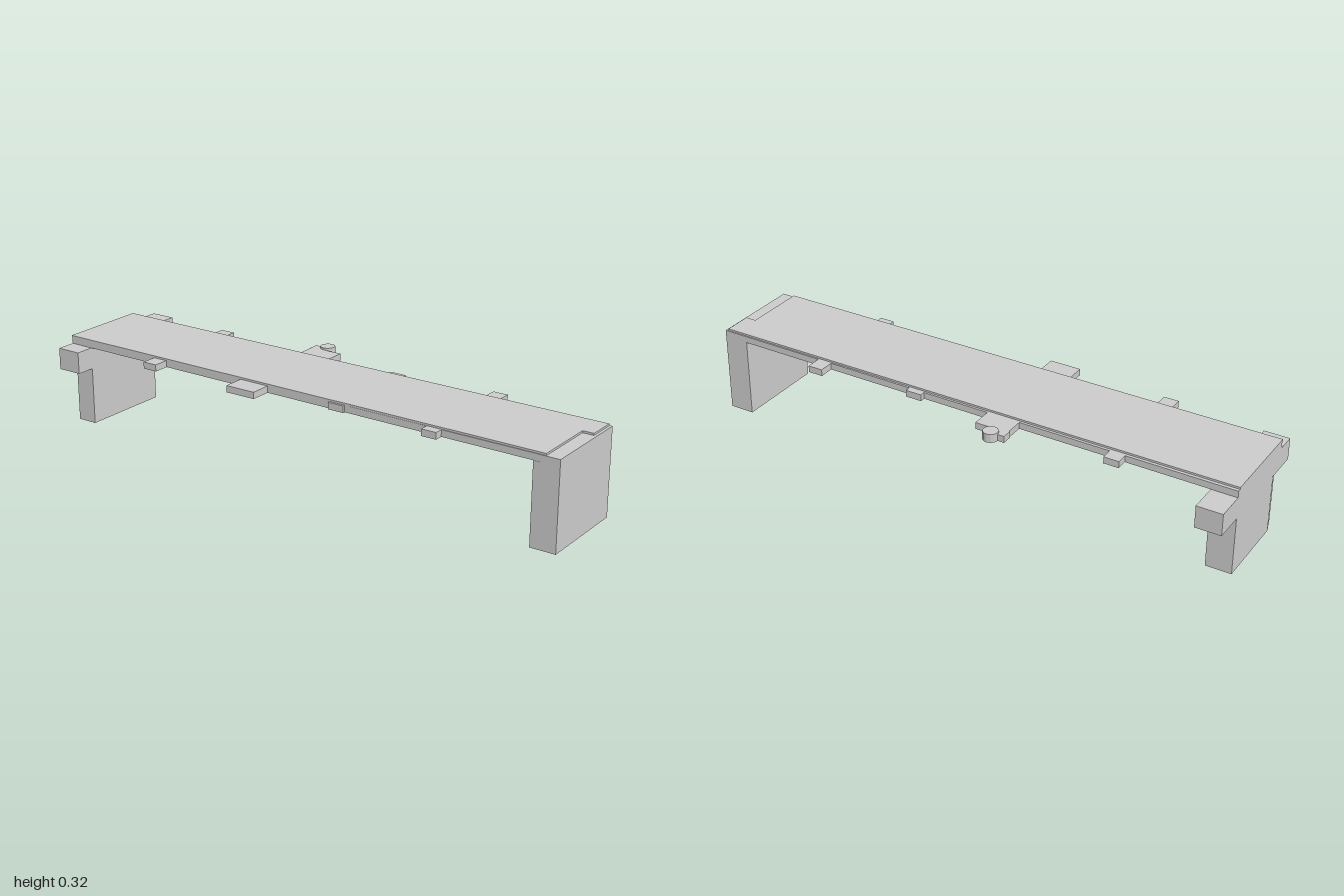
import * as THREE from 'three';

const material = new THREE.MeshStandardMaterial({ color: 0xcccccc, flatShading: true });

// Plan outline of [x, z] points extruded upwards from y0 to y1
function slab(name, points, y0, y1) {
  const shape = new THREE.Shape(points.map(([x, z]) => new THREE.Vector2(x, -z)));
  const geometry = new THREE.ExtrudeGeometry(shape, { depth: y1 - y0, bevelEnabled: false });
  geometry.rotateX(-Math.PI / 2).translate(0, y0, 0);
  const mesh = new THREE.Mesh(geometry, material);
  mesh.name = name;
  return mesh;
}

const rect = (x0, x1, z0, z1) => [[x0, z0], [x0, z1], [x1, z1], [x1, z0]];

// The deck skews slightly towards the front from one end to the other
const backEdge = (x) => -0.144 + 0.007 * x;
const frontEdge = (x) => 0.197 + 0.008 * x;

export function createModel() {
  const model = new THREE.Group();
  const low = 0.289, mid = 0.313, top = 0.32;

  // Side tabs: [x start, x end, outer z]
  const frontTabs = [[-0.605, -0.55, 0.25], [-0.22, -0.105, 0.272], [0.15, 0.21, 0.207], [0.525, 0.58, 0.232]];
  const backTabs = [[-0.61, -0.555, -0.19], [-0.222, -0.1, -0.22], [0.15, 0.21, -0.162], [0.535, 0.59, -0.195]];

  // Deck with its tabs as one plan outline
  const outline = [[-1, backEdge(-1)], [-1, frontEdge(-1)]];
  for (const [a, b, z] of frontTabs) {
    outline.push([a, frontEdge(a)], [a, z], [b, z], [b, frontEdge(b)]);
  }
  outline.push([1, frontEdge(1)], [1, backEdge(1)]);
  for (const [a, b, z] of backTabs.reverse()) {
    outline.push([b, backEdge(b)], [b, z], [a, z], [a, backEdge(a)]);
  }
  model.add(slab('deck', outline, low, mid));

  // Thin walking surface, stepped at one end
  model.add(slab('deckSurface', [
    [-1, backEdge(-1) + 0.012], [-1, frontEdge(-1) + 0.003], [0.95, frontEdge(0.95) - 0.003],
    [0.95, -0.03], [0.99, -0.03], [0.99, backEdge(1) + 0.004],
  ], mid, top));

  // Plain end pier
  model.add(slab('plainPier', rect(0.908, 1, backEdge(1), frontEdge(1)), 0, low));

  // Pier with one cut corner, carrying a wider cross beam
  model.add(slab('cutPier', [
    [-1, -0.148], [-1, 0.135], [-0.983, 0.19], [-0.908, 0.19], [-0.908, -0.148],
  ], 0, 0.21));
  model.add(slab('crossBeam', rect(-1, -0.908, -0.258, 0.259), 0.21, low));

  // Small post and block on the rear middle tab
  model.add(slab('postBlock', rect(-0.225, -0.17, -0.247, -0.21), low, mid));
  const post = new THREE.Mesh(new THREE.CylinderGeometry(0.027, 0.027, top - low, 12), material);
  post.name = 'post';
  post.position.set(-0.174, (low + top) / 2, -0.247);
  model.add(post);

  return model;
}
